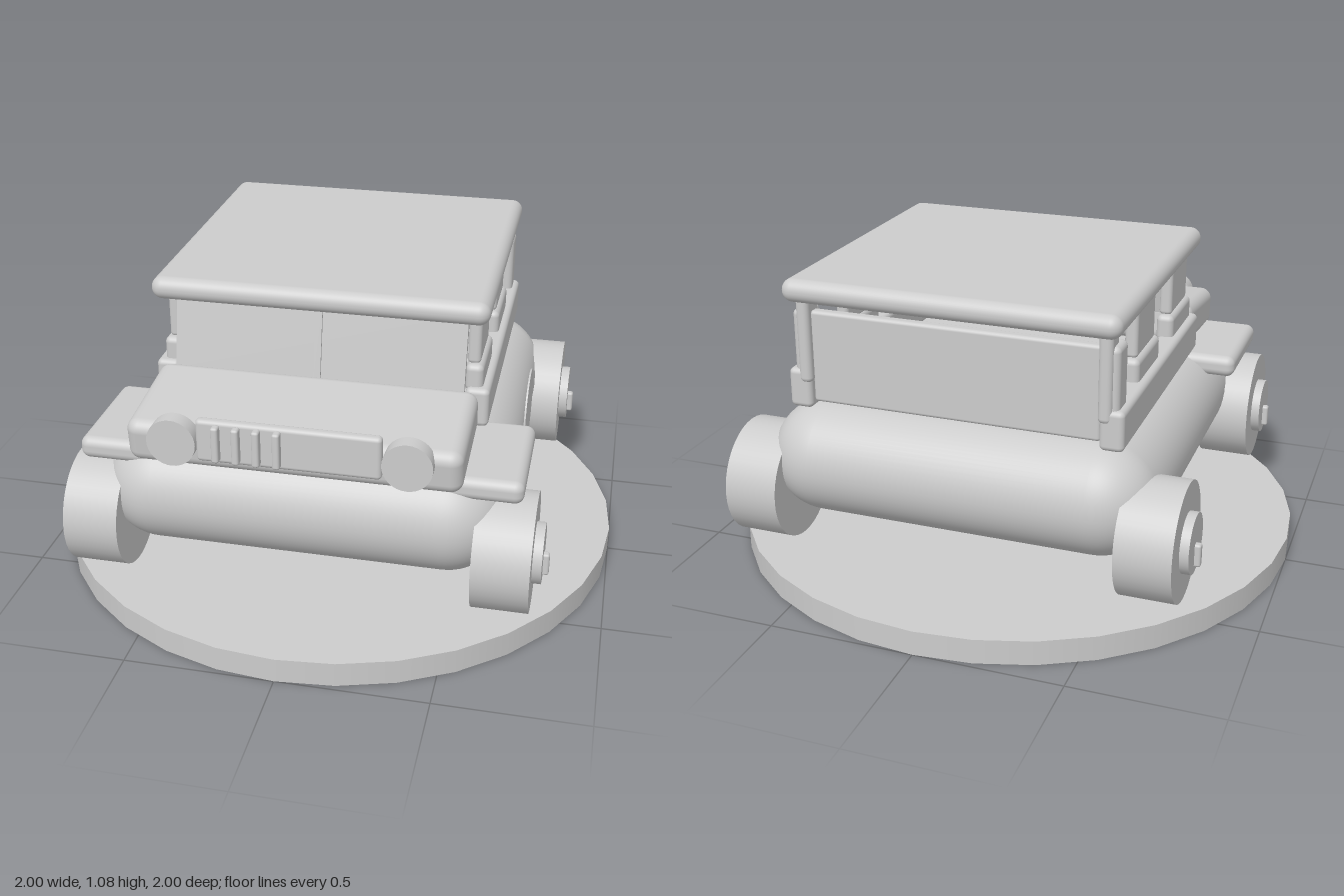
import * as THREE from 'three';
import { RoundedBoxGeometry } from 'three/addons/geometries/RoundedBoxGeometry.js';

export function createModel() {
  const model = new THREE.Group();
  model.name = 'offRoadCar';
  const grey = new THREE.MeshStandardMaterial({ color: 0xcccccc });
  grey.name = 'lightGrey';

  const add = (name, geometry, x, y, z) => {
    const mesh = new THREE.Mesh(geometry, grey);
    mesh.name = name;
    mesh.position.set(x, y, z);
    model.add(mesh);
    return mesh;
  };
  // Rounded box given by its extents on each axis
  const block = (name, [x0, x1], [y0, y1], [z0, z1], r, seg = 4) =>
    add(name, new RoundedBoxGeometry(x1 - x0, y1 - y0, z1 - z0, seg, r),
      (x0 + x1) / 2, (y0 + y1) / 2, (z0 + z1) / 2);
  // Same block on both sides, x given for the left side
  const pair = (name, [x0, x1], y, z, r) => {
    block(name + 'Left', [x0, x1], y, z, r);
    block(name + 'Right', [-x1, -x0], y, z, r);
  };
  // Cylinder lying along x
  const discX = (name, r, x0, x1, y, z) =>
    add(name, new THREE.CylinderGeometry(r, r, Math.abs(x1 - x0), 40).rotateZ(Math.PI / 2),
      (x0 + x1) / 2, y, z);

  // Display base
  add('base', new THREE.CylinderGeometry(1, 1, 0.085, 32), 0, 0.0425, 0);

  // Lower body, fenders and hood
  block('body', [-0.67, 0.67], [0.24, 0.63], [-0.755, 0.755], 0.194, 8);
  pair('fender', [0.42, 0.725], [0.55, 0.627], [0.272, 0.692], 0.03);
  const hood = add('hood', new RoundedBoxGeometry(1.08, 0.15, 0.395, 4, 0.04), 0, 0.684, 0.55);
  hood.rotation.x = 0.115;

  // Wheels with hubs and caps
  for (const side of [-1, 1]) {
    for (const z of [-0.59, 0.59]) {
      discX('wheel', 0.198, side * 0.58, side * 0.765, 0.33, z);
      discX('hub', 0.1, side * 0.76, side * 0.795, 0.33, z);
      const cap = add('hubCap', new RoundedBoxGeometry(0.04, 0.078, 0.028, 2, 0.008), side * 0.795, 0.292, z);
      cap.name = 'hubCap';
    }
  }

  // Round badge plate on the left flank
  discX('sidePlate', 0.15, 0.668, 0.674, 0.48, -0.11);

  // Grille with upright bars, and headlights
  block('grille', [-0.295, 0.295], [0.64, 0.785], [0.742, 0.778], 0.014);
  for (let i = 0; i < 4; i++) {
    const x = -0.225 + i * 0.065;
    block('grilleBar', [x - 0.012, x + 0.012], [0.655, 0.778], [0.775, 0.808], 0.008, 2);
  }
  for (const side of [-1, 1]) {
    add('headlight', new THREE.CylinderGeometry(0.08, 0.08, 0.055, 32).rotateX(Math.PI / 2),
      side * 0.375, 0.697, 0.755);
  }

  // Side rails and seats
  pair('sideRail', [0.49, 0.57], [0.63, 0.765], [-0.66, 0.345], 0.018);
  for (const z of [0.185, -0.268]) {
    pair('seatCushion', [0.485, 0.545], [0.745, 0.84], [z - 0.137, z + 0.137], 0.02);
    pair('seatBack', [0.488, 0.532], [0.835, 1.0], [z - 0.113, z + 0.113], 0.015);
  }

  // Windshield, leaning back, with its centre bar
  const windshield = add('windshield', new THREE.BoxGeometry(0.98, 0.27, 0.025), 0, 0.885, 0.332);
  windshield.rotation.x = -0.18;
  const bar = add('windshieldBar', new THREE.BoxGeometry(0.022, 0.26, 0.034), 0, 0.89, 0.336);
  bar.rotation.x = -0.18;

  // Rear panel and corner posts
  block('rearPanel', [-0.49, 0.49], [0.65, 0.965], [-0.64, -0.6], 0.012);
  pair('rearPost', [0.485, 0.53], [0.72, 1.02], [-0.665, -0.58], 0.018);
  pair('rearSideBlock', [0.495, 0.55], [0.73, 0.968], [-0.65, -0.55], 0.02);

  // Roof
  block('roof', [-0.563, 0.563], [1.002, 1.08], [-0.705, 0.39], 0.038, 5);

  return model;
}
